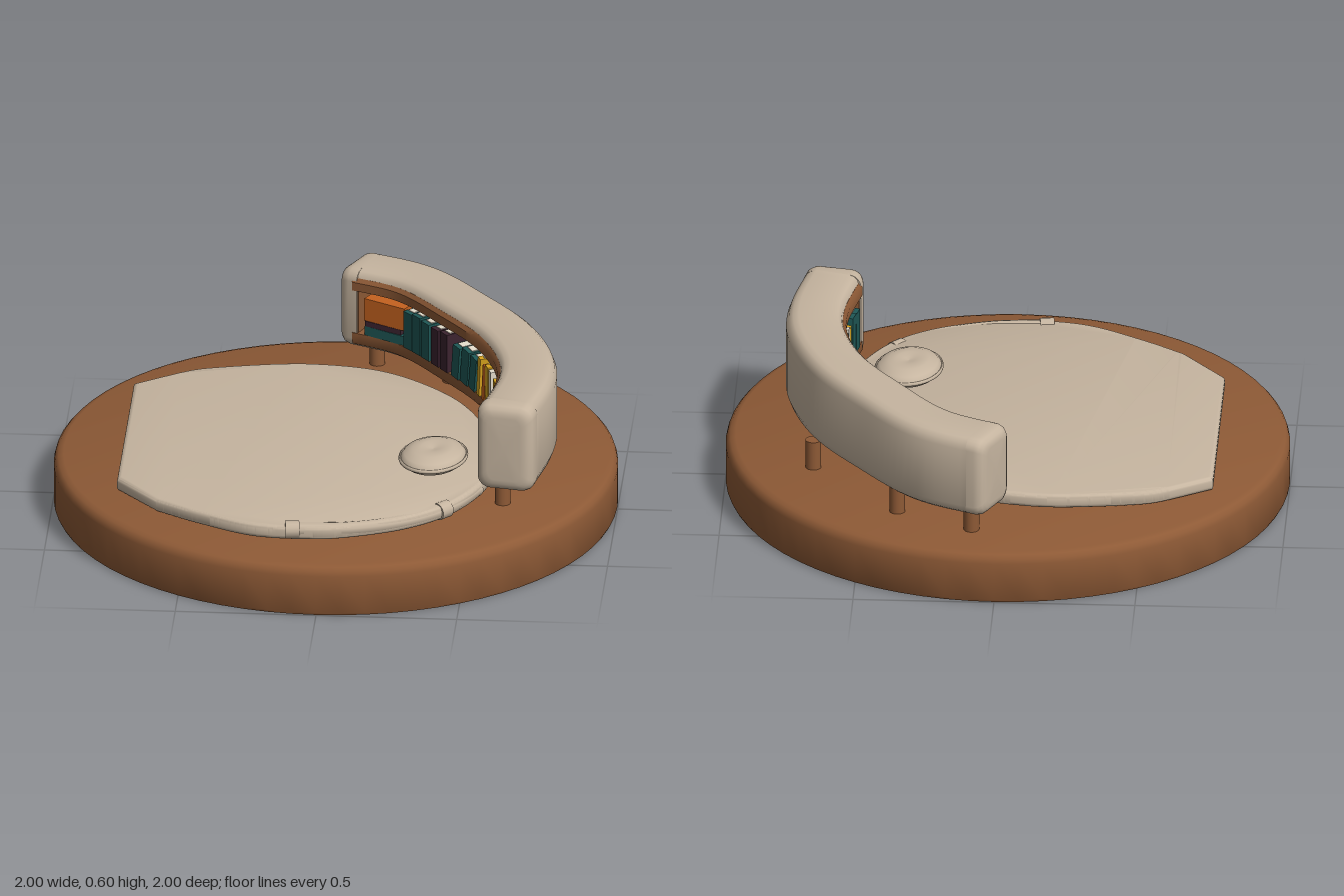
import * as THREE from 'three';
import { toCreasedNormals } from 'three/addons/utils/BufferGeometryUtils.js';

const mat = (name, color) => {
  const m = new THREE.MeshStandardMaterial({ color });
  m.name = name;
  return m;
};
const lerp = THREE.MathUtils.lerp;
const V3 = (x, y, z) => new THREE.Vector3(x, y, z);

// Centre line of the curved shelf, from its front end to its back end
const path = new THREE.CatmullRomCurve3([
  [0.63, 0.49], [0.685, 0.19], [0.675, 0], [0.585, -0.25], [0.43, -0.475], [0.235, -0.70], [0, -0.82],
].map(([x, z]) => V3(x, 0, z)));
const H = 0.33, HALF = 0.105;

// Position and directions at a fraction of the shelf; the shelf gets a little lower at the back
function frame(t) {
  const p = path.getPointAt(t), d = path.getTangentAt(t);
  return { p, d, n: V3(-d.z, 0, d.x), floor: lerp(0.27, 0.28, t), k: lerp(1, 0.905, t) };
}

// Sweep a clockwise [across, height] profile along the shelf; rings are [fraction, inset]
function sweep(profile, rings, capped) {
  const pos = [], index = [], m = profile.length;
  const put = (f, u, v) => pos.push(f.p.x + f.n.x * u, f.floor + v * f.k, f.p.z + f.n.z * u);
  for (const [t, inset] of rings) {
    const f = frame(t);
    for (const [u, v] of profile)
      put(f, u * (1 - inset / HALF), H / 2 + (v - H / 2) * (1 - inset * 2 / H));
  }
  for (let i = 0; i < rings.length - 1; i++)
    for (let j = 0; j < m; j++) {
      const a = i * m + j, b = i * m + (j + 1) % m;
      index.push(a, b, a + m, b, b + m, a + m);
    }
  if (capped) {
    const last = (rings.length - 1) * m, c = rings.length * m;
    put(frame(rings[0][0]), 0, H / 2);
    put(frame(rings[rings.length - 1][0]), 0, H / 2);
    for (let j = 0; j < m; j++) {
      const k = (j + 1) % m;
      index.push(c, k, j, c + 1, last + j, last + k);
    }
  }
  const g = new THREE.BufferGeometry();
  g.setAttribute('position', new THREE.Float32BufferAttribute(pos, 3));
  g.setIndex(index);
  return toCreasedNormals(g, 0.7);
}

// Clockwise rounded rectangle for the solid ends
function roundedProfile(r = 0.045, steps = 5) {
  const out = [];
  const corners = [[-HALF + r, H - r, 180], [HALF - r, H - r, 90], [HALF - r, r, 0], [-HALF + r, r, -90]];
  for (const [u, v, start] of corners)
    for (let i = 0; i <= steps; i++) {
      const a = (start - 90 * i / steps) * Math.PI / 180;
      out.push([u + r * Math.cos(a), v + r * Math.sin(a)]);
    }
  return out;
}

export function createModel() {
  const wood = mat('wood brown', 0x8e5a36), fabric = mat('beige fabric', 0xc6b5a0);
  const teal = mat('teal', 0x1f5856), orange = mat('orange', 0xc4621f), yellow = mat('yellow', 0xd9a41e);
  const plum = mat('plum', 0x3c2430), cream = mat('cream paper', 0xe4dccb);
  const model = new THREE.Group();
  const add = (name, geo, material, parent = model) => {
    const mesh = new THREE.Mesh(geo, material);
    mesh.name = name;
    parent.add(mesh);
    return mesh;
  };

  // Round platform
  const rim = [[0, 0], [0.995, 0], [1, 0.01], [1, 0.15], [0.995, 0.167], [0.984, 0.18], [0.965, 0.186], [0, 0.186]];
  add('platform', toCreasedNormals(new THREE.LatheGeometry(rim.map(p => new THREE.Vector2(...p)), 72), 0.6), wood);

  // Mattress with one straight side, rising gently towards the shelf
  const outline = new THREE.Shape();
  outline.moveTo(-0.75, 0.39);
  outline.lineTo(-0.75, -0.44);
  outline.lineTo(-0.6, -0.54);
  outline.splineThru([[-0.5, -0.585], [-0.25, -0.63], [-0.08, -0.63], [0.1, -0.59], [0.25, -0.5], [0.4, -0.35],
    [0.5, -0.17], [0.565, 0.05], [0.58, 0.2], [0.55, 0.38], [0.45, 0.57], [0.3, 0.7], [0.1, 0.78], [-0.05, 0.8],
    [-0.25, 0.775], [-0.45, 0.67], [-0.6, 0.57]].map(p => new THREE.Vector2(...p)));
  const bed = new THREE.ExtrudeGeometry(outline, {
    depth: 0.02, bevelThickness: 0.016, bevelSize: 0.016, bevelOffset: -0.016, bevelSegments: 4, curveSegments: 64,
  });
  bed.rotateX(Math.PI / 2).translate(0, 0.224, 0);
  const bp = bed.attributes.position;
  for (let i = 0; i < bp.count; i++) bp.setY(i, bp.getY(i) + (bp.getX(i) + 0.75) * 0.017);
  add('mattress', toCreasedNormals(bed, 0.6), fabric);

  // Piping along the front edge with two sleeves
  const piping = new THREE.CatmullRomCurve3([[-0.1, 0.78], [0.1, 0.757], [0.29, 0.68], [0.435, 0.555], [0.53, 0.38]]
    .map(([x, z]) => V3(x, 0.233, z)));
  add('mattressPiping', new THREE.TubeGeometry(piping, 32, 0.025, 10), fabric);
  for (const t of [0, 0.72]) {
    const sleeve = add('pipingSleeve', new THREE.CylinderGeometry(0.031, 0.031, 0.05, 14), fabric);
    sleeve.position.copy(piping.getPointAt(t));
    sleeve.quaternion.setFromUnitVectors(V3(0, 1, 0), piping.getTangentAt(t));
  }

  // Oval cushion with a dimple and a seam
  const cushion = new THREE.Group();
  cushion.name = 'cushion';
  cushion.position.set(0.365, 0.307, 0.27);
  cushion.rotation.y = -0.2;
  cushion.scale.set(0.12, 1, 0.152);
  model.add(cushion);
  const puff = [[0, -0.04], [0.5, -0.038], [0.8, -0.024], [0.95, -0.008], [0.96, 0.003], [0.85, 0.02],
    [0.6, 0.034], [0.35, 0.036], [0.15, 0.03], [0, 0.027]];
  add('cushionBody', new THREE.LatheGeometry(puff.map(p => new THREE.Vector2(...p)), 40), fabric, cushion);
  const seam = new THREE.TorusGeometry(0.97, 0.04, 8, 40);
  seam.rotateX(Math.PI / 2).scale(1, 0.18, 1);
  add('cushionSeam', seam, fabric, cushion);

  // Curved shelf: padded shell, wooden lining and solid ends
  const shelf = new THREE.Group();
  shelf.name = 'curvedShelf';
  model.add(shelf);
  const run = (a, b, n) => Array.from({ length: n + 1 }, (_, i) => [lerp(a, b, i / n), 0]);
  const shell = [[-0.097, 0.295], [-0.092, 0.312], [-0.08, 0.324], [-0.06, 0.33], [0.06, 0.33], [0.08, 0.325],
    [0.095, 0.312], [0.105, 0.285], [0.105, 0.045], [0.095, 0.018], [0.08, 0.005], [0.06, 0],
    [-0.06, 0], [-0.08, 0.005], [-0.092, 0.018], [-0.095, 0.03], [0.06, 0.03], [0.06, 0.292]];
  add('shelfShell', sweep(shell, run(0.04, 0.96, 48)), fabric, shelf);
  const lining = [[-0.1, 0.02], [-0.108, 0.035], [-0.108, 0.07], [0.05, 0.07], [0.05, 0.25], [-0.108, 0.25],
    [-0.108, 0.285], [-0.096, 0.3], [0.055, 0.295], [0.055, 0.025]];
  add('shelfLining', sweep(lining, run(0.04, 0.965, 48)), wood, shelf);
  const bevel = [[0, 0.045], [0.001, 0.03], [0.005, 0.016], [0.013, 0.005], [0.025, 0], [0.045, 0]];
  const solid = roundedProfile();
  add('shelfFrontEnd', sweep(solid, bevel, true), fabric, shelf);
  add('shelfBackEnd', sweep(solid, bevel.map(([t, i]) => [1 - t, i]).reverse(), true), fabric, shelf);
  for (const t of [0.044, 0.952])
    add('shelfSidePanel', sweep(solid, [[t, 0.006], [t + 0.004, 0.006]], true), wood, shelf);

  // Short round feet
  for (const [x, z] of [[0.62, 0.39], [0.675, -0.31], [0.36, -0.655], [0.09, -0.79]])
    add('shelfFoot', new THREE.CylinderGeometry(0.028, 0.028, 0.11, 18), wood, shelf).position.set(x, 0.238, z);

  // Books: fraction along the shelf, width, height, colour, lean, lift
  const books = [
    [0.085, 0.05, 0.15, teal, 0], [0.122, 0.05, 0.155, teal, 0.04], [0.16, 0.03, 0.14, yellow, 0],
    [0.185, 0.025, 0.15, cream, 0], [0.215, 0.045, 0.14, teal, 0], [0.25, 0.045, 0.15, teal, 0.1],
    [0.30, 0.035, 0.14, yellow, 0.15], [0.335, 0.035, 0.145, yellow, 0.12], [0.375, 0.03, 0.15, cream, 0],
    [0.405, 0.035, 0.15, yellow, 0], [0.435, 0.03, 0.14, orange, 0.12], [0.47, 0.025, 0.15, yellow, 0.1],
    [0.51, 0.045, 0.13, teal, 0.15], [0.55, 0.05, 0.135, teal, 0.12], [0.59, 0.045, 0.125, teal, 0.1],
    [0.635, 0.045, 0.145, plum, 0], [0.67, 0.045, 0.14, plum, 0], [0.71, 0.05, 0.14, teal, 0],
    [0.747, 0.05, 0.145, teal, 0], [0.783, 0.045, 0.14, teal, 0],
    [0.87, 0.18, 0.035, teal, 0], [0.88, 0.15, 0.02, plum, 0, 0.036], [0.875, 0.17, 0.085, orange, 0, 0.057],
  ];
  for (const [t, w, h, color, lean, lift = 0] of books) {
    const f = frame(t), book = new THREE.Group();
    book.name = 'book';
    book.position.copy(f.p).addScaledVector(f.n, -0.045).setY(f.floor + 0.07 * f.k + lift);
    book.rotation.set(0, Math.atan2(-f.d.z, f.d.x), lean);
    shelf.add(book);
    add('bookCover', new THREE.BoxGeometry(w, h, 0.135), color, book).position.y = h / 2;
    if (h > 0.1)
      add('bookPages', new THREE.BoxGeometry(w * 0.7, 0.004, 0.11), cream, book).position.set(0, h + 0.001, 0.005);
  }
  return model;
}
